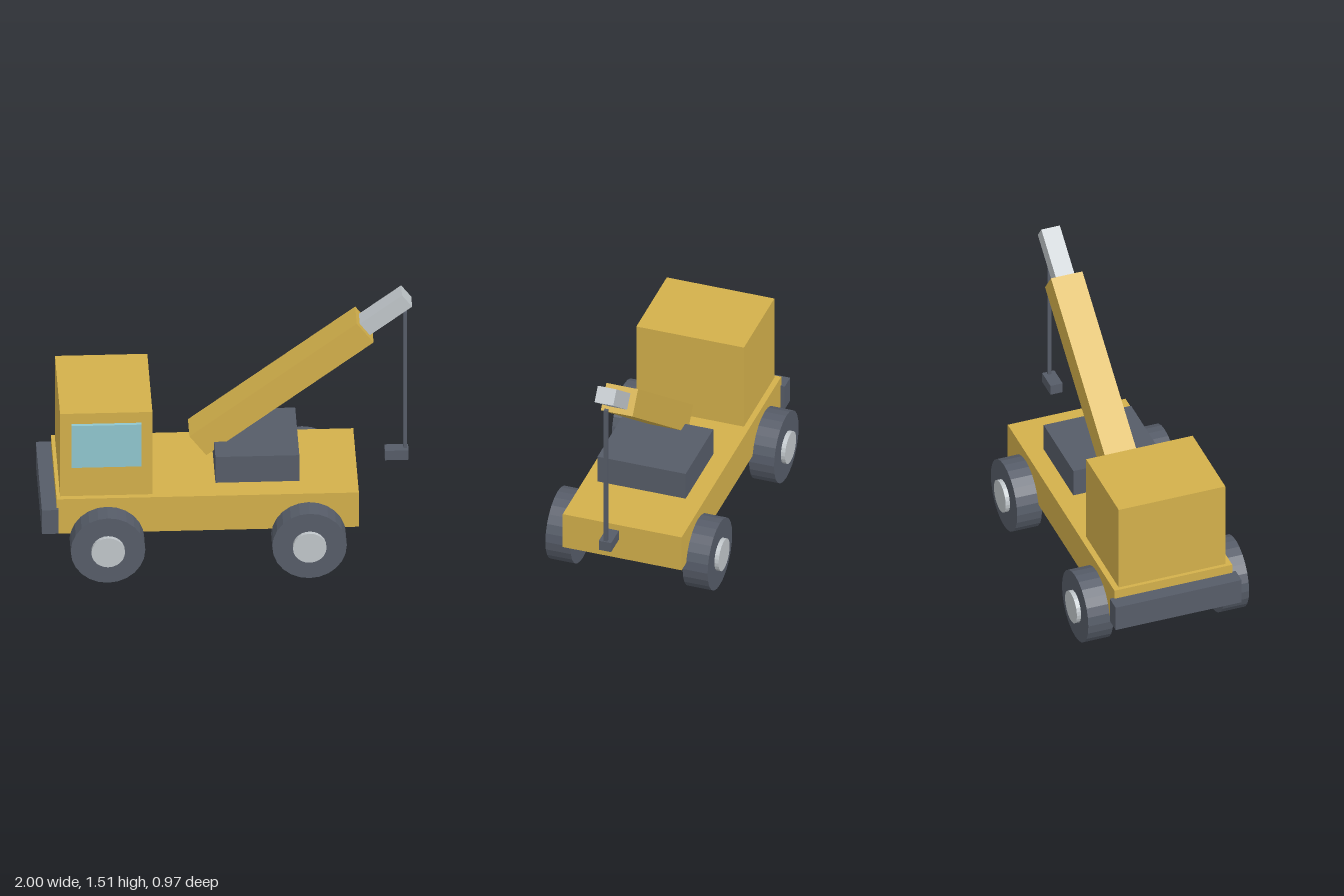
import * as THREE from 'three';

const paint = (name, color) => {
  const m = new THREE.MeshStandardMaterial({ color });
  m.name = name;
  return m;
};

export function createModel() {
  const group = new THREE.Group();
  group.name = 'craneTruck';

  const yellow = paint('yellowPaint', 0xd3b04b);
  const dark = paint('darkGrey', 0x565c68);
  const metal = paint('lightMetal', 0xc0c6ca);
  const glass = paint('glass', 0x90c6ce);
  dark.flatShading = true;
  metal.flatShading = true;

  // Box from its extents along each axis
  const box = (name, mat, [x0, x1], [y0, y1], [z0, z1]) => {
    const mesh = new THREE.Mesh(new THREE.BoxGeometry(x1 - x0, y1 - y0, z1 - z0), mat);
    mesh.position.set((x0 + x1) / 2, (y0 + y1) / 2, (z0 + z1) / 2);
    mesh.name = name;
    group.add(mesh);
    return mesh;
  };

  // Body
  box('chassis', yellow, [-0.92, 0.7], [0.24, 0.453], [-0.337, 0.337]);
  box('cab', yellow, [-0.9, -0.405], [0.453, 0.965], [-0.305, 0.305]);
  box('sideWindow', glass, [-0.84, -0.465], [0.64, 0.9], [0.3, 0.326]);
  box('bumper', dark, [-1, -0.91], [0.253, 0.4], [-0.36, 0.36]);
  box('craneBase', dark, [-0.065, 0.385], [0.482, 0.642], [-0.25, 0.25]);

  // Boom and extension share one slanted axis, measured from the boom's foot
  const arm = new THREE.Group();
  arm.name = 'craneArm';
  arm.position.set(-0.152, 0.62, 0);
  arm.rotation.z = THREE.MathUtils.degToRad(37.1);
  const armBox = (name, mat, from, to, height, width) => {
    const mesh = new THREE.Mesh(new THREE.BoxGeometry(to - from, height, width), mat);
    mesh.position.x = (from + to) / 2;
    mesh.name = name;
    arm.add(mesh);
  };
  armBox('boom', yellow, 0, 1.124, 0.15, 0.18);
  armBox('boomExtension', metal, 1.0, 1.408, 0.09, 0.106);
  group.add(arm);

  // Hoist
  box('cable', dark, [0.953, 0.972], [0.52, 1.373], [-0.01, 0.01]);
  box('hook', dark, [0.853, 0.98], [0.47, 0.528], [-0.035, 0.035]);

  // Wheels with hubs on the outer side
  const tyreGeo = new THREE.CylinderGeometry(0.2, 0.2, 0.142, 24).rotateX(Math.PI / 2);
  const hubGeo = new THREE.CylinderGeometry(0.09, 0.09, 0.06, 24).rotateX(Math.PI / 2);
  for (const x of [-0.65, 0.43]) {
    for (const side of [1, -1]) {
      const wheel = new THREE.Group();
      wheel.name = (x < 0 ? 'cabEnd' : 'craneEnd') + 'Wheel' + (side > 0 ? 'Front' : 'Back');
      const tyre = new THREE.Mesh(tyreGeo, dark);
      tyre.name = 'tyre';
      const hub = new THREE.Mesh(hubGeo, metal);
      hub.name = 'hub';
      hub.position.z = side * 0.065;
      wheel.add(tyre, hub);
      wheel.position.set(x, 0.2, side * 0.389);
      group.add(wheel);
    }
  }

  return group;
}
